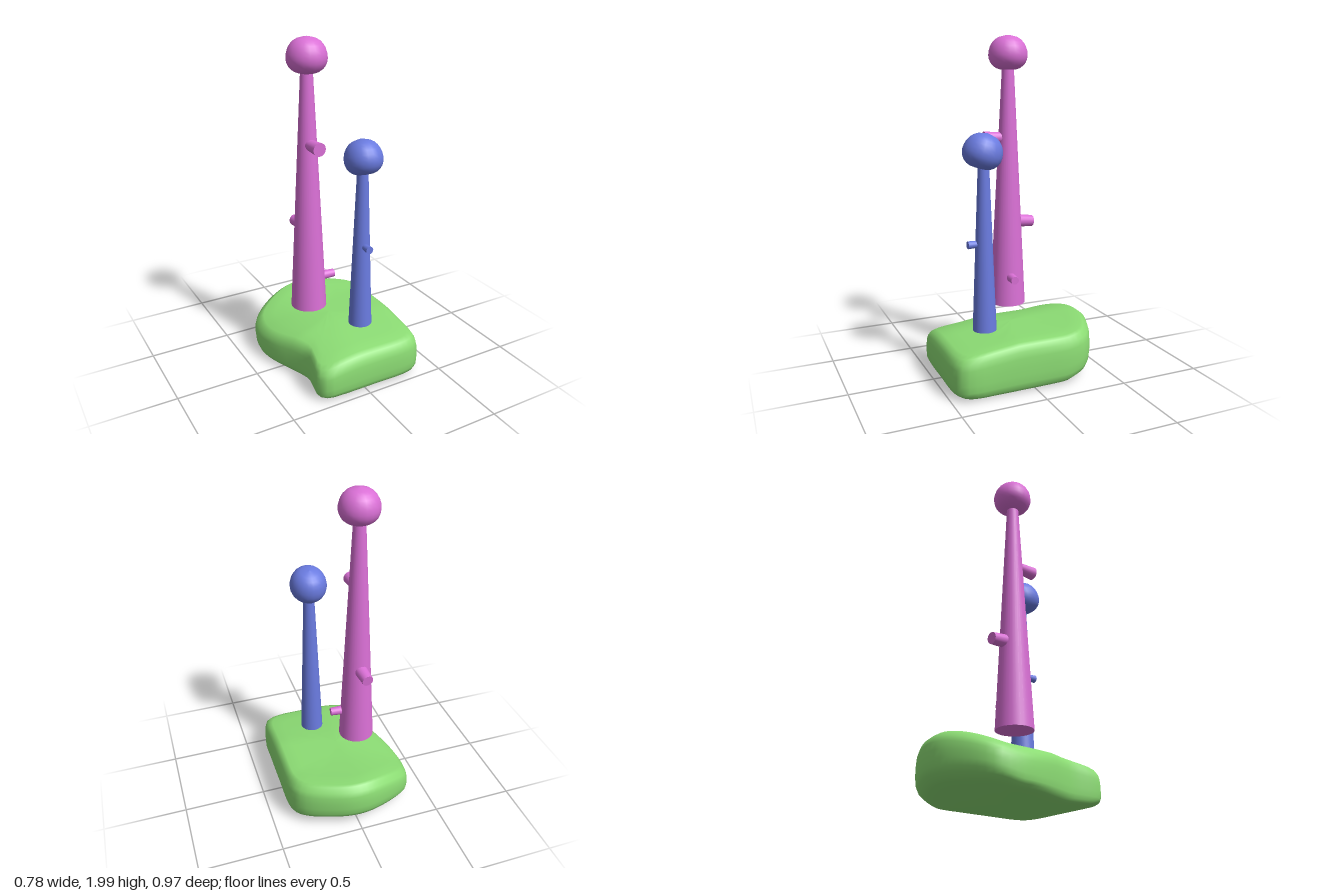
import * as THREE from 'three';

const PINK = 0xda70d6, BLUE = 0x6a7be0, GREEN = 0x8cdc74;

function part(name, geometry, color) {
  const mesh = new THREE.Mesh(geometry, new THREE.MeshStandardMaterial({ color }));
  mesh.name = name;
  return mesh;
}

// Tapered round bar running from point a to point b
function bar(name, a, b, ra, rb, color, sides) {
  const start = new THREE.Vector3(...a), end = new THREE.Vector3(...b);
  const dir = end.clone().sub(start);
  const mesh = part(name, new THREE.CylinderGeometry(rb, ra, dir.length(), sides), color);
  mesh.position.copy(start).add(end).multiplyScalar(0.5);
  mesh.quaternion.setFromUnitVectors(new THREE.Vector3(0, 1, 0), dir.normalize());
  return mesh;
}

// Dome-shaped cap with a flattened, rounded underside
function cap(name, position, radius, color) {
  const profile = new THREE.SplineCurve([
    [0, -0.72], [0.5, -0.68], [0.86, -0.42], [1, 0], [0.88, 0.5], [0.54, 0.86], [0, 1],
  ].map(([x, y]) => new THREE.Vector2(x * radius, y * radius))).getPoints(14);
  profile.forEach(p => { p.x = Math.max(0, p.x); });
  profile[0].x = profile[profile.length - 1].x = 0;
  const mesh = part(name, new THREE.LatheGeometry(profile, 20), color);
  mesh.position.set(...position);
  return mesh;
}

// Irregular rounded slab: its outline repeated as inset rings between two surfaces
function createBase() {
  const outline = new THREE.CatmullRomCurve3([
    [0, -0.485], [0.1, -0.47], [0.29, -0.385], [0.36, -0.32], [0.387, -0.23], [0.39, 0],
    [0.388, 0.25], [0.385, 0.38], [0.36, 0.45], [0.29, 0.477], [0.05, 0.48], [-0.18, 0.475],
    [-0.26, 0.462], [-0.297, 0.42], [-0.285, 0.32], [-0.273, 0.24], [-0.3, 0.14],
    [-0.365, -0.03], [-0.39, -0.14], [-0.39, -0.23], [-0.365, -0.32], [-0.29, -0.385], [-0.1, -0.47],
  ].map(([x, z]) => new THREE.Vector3(x, 0, z)), true);
  const n = 72;
  const topY = (x, z) => 0.302 - 0.7 * Math.min(0, x) ** 2
    - 0.12 * Math.max(0, z - 0.1) + 0.1 * Math.max(0, -z - 0.2);
  const bottomY = z => 0.008 + 0.25 * Math.max(0, -z - 0.2);

  // [inset scale, height fraction], from the underside centre to the top centre
  const rings = [[0.001, 0], [0.35, 0], [0.7, 0], [0.85, 0.01], [0.93, 0.04], [0.975, 0.11], [0.995, 0.22],
    [1, 0.38], [1, 0.55], [0.995, 0.72], [0.98, 0.85], [0.94, 0.95], [0.88, 0.99],
    [0.72, 1], [0.5, 1], [0.25, 1], [0.001, 1]];
  const positions = [], index = [];
  rings.forEach(([s, t], r) => {
    for (let i = 0; i < n; i++) {
      const p = outline.getPointAt(i / n);
      const back = Math.max(0, -p.z / 0.48);
      const k = s > 0.9 ? 1 - (1 - s) * (1 + 0.5 * back) : s;
      const x = p.x * k, z = p.z * k;
      positions.push(x, THREE.MathUtils.lerp(bottomY(z), topY(x, z), t), z);
      if (r < rings.length - 1) {
        const a = r * n + i, b = r * n + (i + 1) % n;
        index.push(a, a + n, b, b, a + n, b + n);
      }
    }
  });
  const g = new THREE.BufferGeometry();
  g.setAttribute('position', new THREE.Float32BufferAttribute(positions, 3));
  g.setIndex(index);
  g.computeVertexNormals();
  return part('base', g, GREEN);
}

export function createModel() {
  const model = new THREE.Group();
  model.name = 'twoStalksOnBase';
  model.add(createBase());

  // Tall stalk with three short pegs
  const tall = new THREE.Group();
  tall.name = 'tallStalk';
  tall.add(
    bar('tallStem', [-0.123, 0.38, -0.03], [-0.12, 1.84, -0.033], 0.108, 0.034, PINK, 32),
    cap('tallCap', [-0.118, 1.884, -0.033], 0.116, PINK),
    bar('frontPeg', [-0.125, 1.405, -0.03], [-0.123, 1.405, 0.12], 0.03, 0.039, PINK, 20),
    bar('backPeg', [-0.12, 0.895, -0.05], [-0.13, 0.88, -0.196], 0.042, 0.034, PINK, 20),
    bar('sidePeg', [-0.11, 0.56, -0.02], [0.04, 0.56, -0.01], 0.032, 0.024, PINK, 20),
  );

  // Short stalk with one small peg
  const short = new THREE.Group();
  short.name = 'shortStalk';
  const shortCap = cap('shortCap', [0.1, 1.343, 0.218], 0.114, BLUE);
  shortCap.scale.set(0.96, 1.03, 1.02);
  shortCap.rotation.x = -0.3;
  short.add(
    bar('shortStem', [0.1, 0.31, 0.212], [0.1, 1.28, 0.212], 0.07, 0.032, BLUE, 32),
    shortCap,
    bar('smallPeg', [0.098, 0.825, 0.22], [0.096, 0.826, 0.31], 0.017, 0.023, BLUE, 16),
  );

  model.add(tall, short);
  return model;
}
